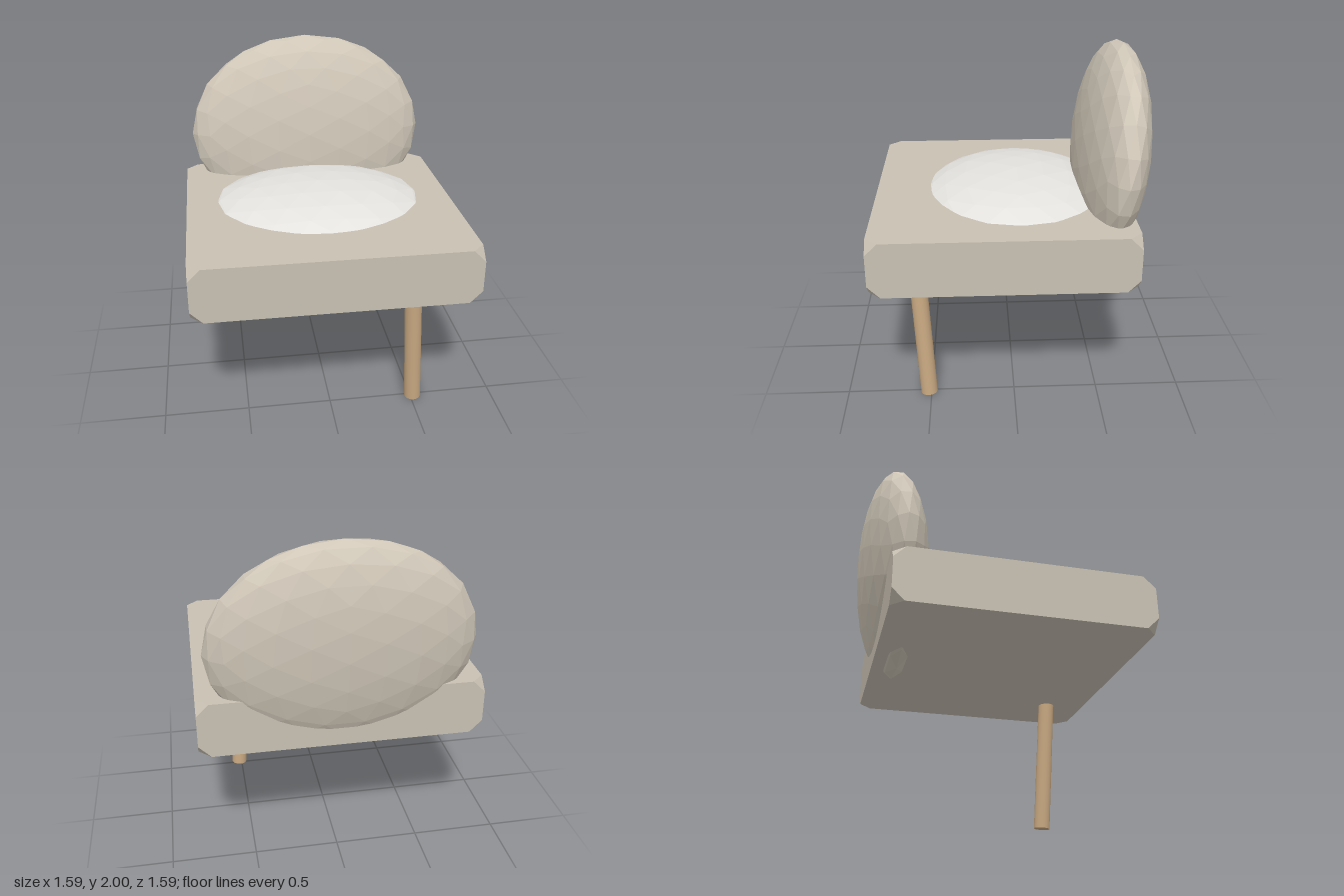
import * as THREE from 'three';
import { ConvexGeometry } from 'three/addons/geometries/ConvexGeometry.js';

const paint = (color, flatShading = true) => new THREE.MeshStandardMaterial({ color, flatShading });

// Faceted ellipsoid cushion
function cushion(name, radii, position, color) {
  const mesh = new THREE.Mesh(new THREE.IcosahedronGeometry(1, 3), paint(color));
  mesh.name = name;
  mesh.scale.set(...radii);
  mesh.position.set(...position);
  return mesh;
}

// Box whose eight corners are cut off
function cutCornerBox(w, h, d, cut) {
  const points = [];
  for (const sx of [-1, 1]) for (const sy of [-1, 1]) for (const sz of [-1, 1]) {
    const corner = new THREE.Vector3(sx * w / 2, sy * h / 2, sz * d / 2);
    points.push(
      corner.clone().add(new THREE.Vector3(-sx * cut, 0, 0)),
      corner.clone().add(new THREE.Vector3(0, -sy * cut, 0)),
      corner.clone().add(new THREE.Vector3(0, 0, -sz * cut)));
  }
  return new ConvexGeometry(points);
}

export function createModel() {
  const model = new THREE.Group();
  model.name = 'chair';

  // Seat block
  const seat = new THREE.Mesh(cutCornerBox(1.594, 0.322, 1.467, 0.07), paint(0xc8c0b2));
  seat.name = 'seatBlock';
  seat.position.set(0, 0.985, 0.065);
  model.add(seat);

  // Seat cushion, sunk into the block
  model.add(cushion('seatCushion', [0.7, 0.2, 0.6], [0, 1.05, -0.04], 0xe4e2de));

  // Backrest, leaning backwards
  const back = cushion('backrest', [0.745, 0.608, 0.199], [0, 1.395, -0.588], 0xd0c7b8);
  back.rotation.x = -0.102;
  model.add(back);

  // Single slanted leg
  const foot = new THREE.Vector3(0.515, 0.004, 0.514);
  const top = new THREE.Vector3(0.468, 0.88, 0.56);
  const axis = top.clone().sub(foot);
  const leg = new THREE.Mesh(
    new THREE.CylinderGeometry(0.05, 0.05, axis.length(), 16), paint(0xc9a982, false));
  leg.name = 'leg';
  leg.position.copy(foot).add(top).multiplyScalar(0.5);
  leg.quaternion.setFromUnitVectors(new THREE.Vector3(0, 1, 0), axis.normalize());
  model.add(leg);

  return model;
}
